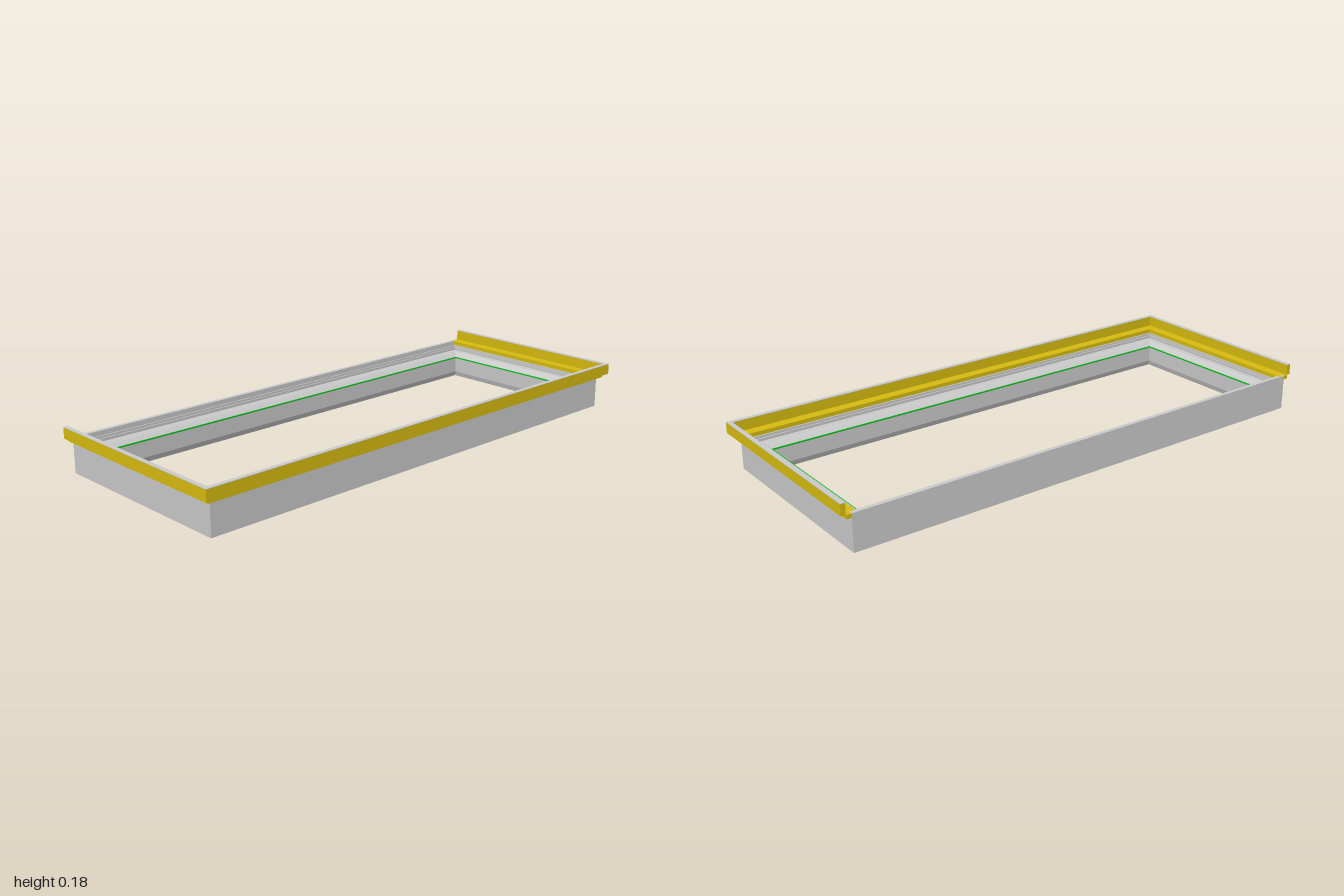
import * as THREE from 'three';

const material = (color) => new THREE.MeshStandardMaterial({ color, flatShading: true, side: THREE.DoubleSide });
const grey = material(0xcccccc);
const gold = material(0xd8bd10);
const green = material(0x10c020);

// Corners of the frame outline: f = 0 is the opening, f = 1 the outer wall
function corners(f, y) {
  const x = 0.89 + 0.075 * f;
  const back = -0.32 - 0.08 * f;
  const front = 0.283 + 0.085 * f;
  return [[-x, y, front], [x, y, front], [x, y, back], [-x, y, back]];
}

// Sweep a closed [f, y] profile around the four mitred corners
function ring(name, profile, mat) {
  const loops = profile.map(([f, y]) => corners(f, y));
  const pos = [];
  loops.forEach((a, i) => {
    const b = loops[(i + 1) % loops.length];
    for (let k = 0; k < 4; k++) {
      const n = (k + 1) % 4;
      pos.push(...a[k], ...a[n], ...b[n], ...a[k], ...b[n], ...b[k]);
    }
  });
  const geo = new THREE.BufferGeometry();
  geo.setAttribute('position', new THREE.Float32BufferAttribute(pos, 3));
  geo.computeVertexNormals();
  const mesh = new THREE.Mesh(geo, mat);
  mesh.name = name;
  return mesh;
}

// Three-sided strip open at the back; d0 and d1 are insets from the outer limits
function threeSided(name, d0, d1, y0, y1, back, mat) {
  const path = [
    [-1 + d0, back], [-1 + d0, 0.4 - d0], [1 - d0, 0.4 - d0], [1 - d0, back],
    [1 - d1, back], [1 - d1, 0.4 - d1], [-1 + d1, 0.4 - d1], [-1 + d1, back],
  ];
  const shape = new THREE.Shape(path.map(([x, z]) => new THREE.Vector2(x, -z)));
  const geo = new THREE.ExtrudeGeometry(shape, { depth: y1 - y0, bevelEnabled: false });
  geo.rotateX(-Math.PI / 2).translate(0, y0, 0);
  const mesh = new THREE.Mesh(geo, mat);
  mesh.name = name;
  return mesh;
}

export function createModel() {
  const group = new THREE.Group();
  group.name = 'frame';

  // Hollow rectangular body with a grooved rebate stepping down to the opening
  group.add(ring('frameBody', [
    [1, 0], [1, 0.122], [0.82, 0.122], [0.82, 0.114], [0.76, 0.114], [0.76, 0.118],
    [0.7, 0.118], [0.7, 0.108], [0.62, 0.108], [0.62, 0.112], [0.56, 0.112],
    [0.56, 0.102], [0.26, 0.102], [0.2, 0.098], [0.03, 0.083],
    [0, 0.083], [0, 0.02], [0.08, 0],
  ], grey));

  // Thin seal along the inner lip
  group.add(ring('innerSeal', [[-0.01, 0.08], [0.03, 0.08], [0.03, 0.085], [-0.01, 0.085]], green));

  // Raised rim on the back wall
  const rim = new THREE.Mesh(new THREE.BoxGeometry(1.93, 0.015, 0.016), grey);
  rim.name = 'backRim';
  rim.position.set(0, 0.1275, -0.392);
  group.add(rim);

  // Trim on the front and both sides: flange, upright lip and its cap
  group.add(threeSided('trimFlange', 0.017, 0.056, 0.12, 0.135, -0.4, gold));
  group.add(threeSided('trimLip', 0, 0.017, 0.134, 0.174, -0.397, gold));
  group.add(threeSided('trimCap', 0, 0.017, 0.174, 0.176, -0.397, grey));

  return group;
}
